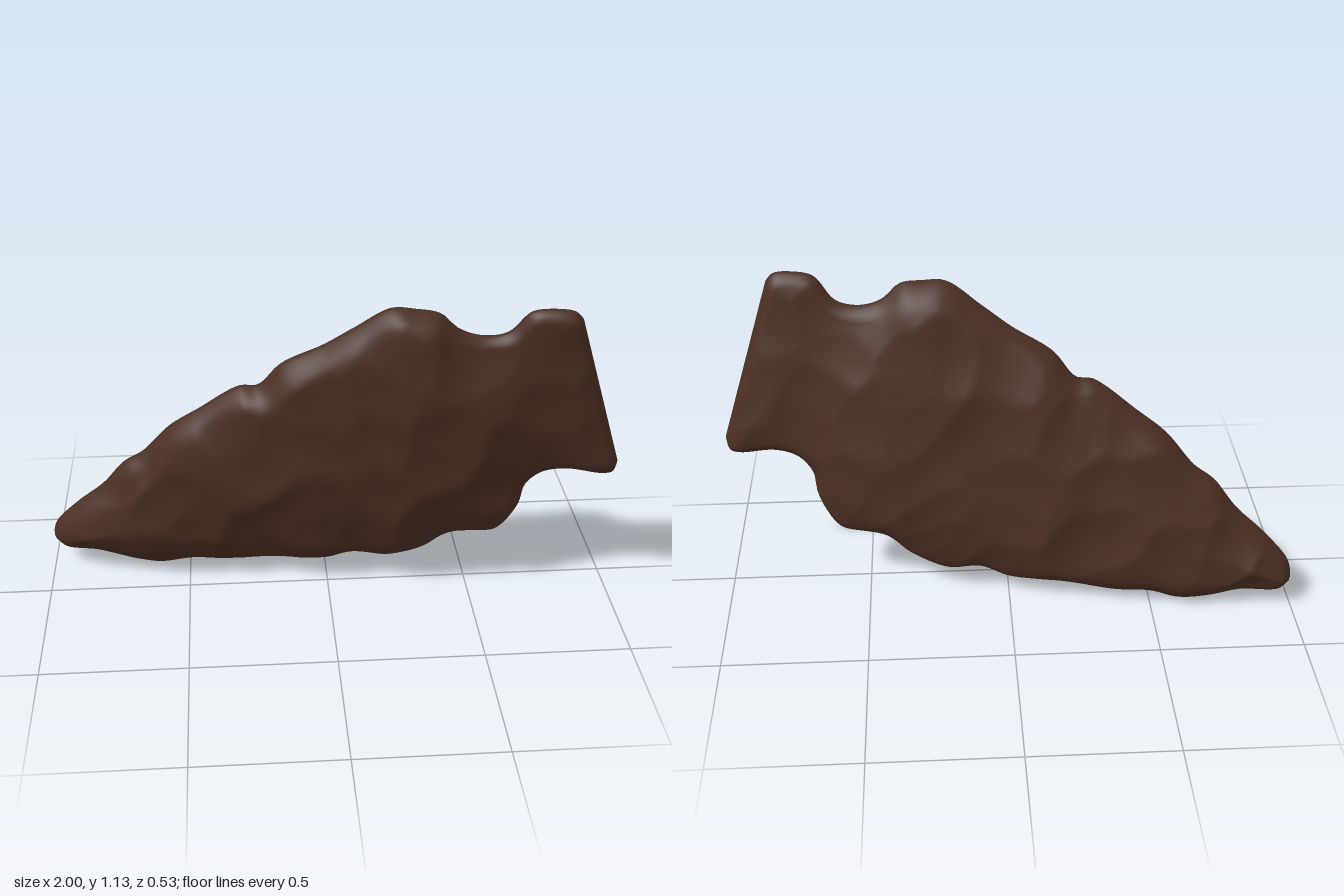
import * as THREE from 'three';

// Long axis of the point, from tip to base, in the x-y plane
const TIP = new THREE.Vector2(-1, 0.1);
const AXIS = new THREE.Vector2(0.938, 0.346);
const along = (p) => (p.x - TIP.x) * AXIS.x + (p.y - TIP.y) * AXIS.y;

// Upper edge: tip, blade, barb, notch, base corner
const UPPER = [
  [-1, 0.13], [-0.985, 0.175], [-0.9, 0.27], [-0.8, 0.36], [-0.72, 0.46], [-0.65, 0.51],
  [-0.55, 0.625], [-0.45, 0.7], [-0.3, 0.805], [-0.24, 0.81], [-0.16, 0.9], [-0.02, 0.98],
  [0.08, 1.05], [0.2, 1.13], [0.28, 1.128], [0.36, 1.115], [0.42, 1.06], [0.5, 1.035],
  [0.58, 1.05], [0.65, 1.13], [0.72, 1.143], [0.79, 1.135], [0.815, 1.11],
];
// Lower edge, in the same order
const LOWER = [
  [-1, 0.1], [-0.96, 0.06], [-0.82, 0.05], [-0.7, 0.02], [-0.6, 0.01], [-0.5, 0.03], [-0.38, 0.028],
  [-0.2, 0.048], [0, 0.058], [0.1, 0.09], [0.22, 0.08], [0.35, 0.13], [0.44, 0.195], [0.6, 0.22],
  [0.65, 0.28], [0.68, 0.35], [0.69, 0.42], [0.74, 0.48], [0.82, 0.5], [0.95, 0.485],
  [0.985, 0.495], [0.997, 0.54],
];

// Smooth an edge and return a lookup by fraction of its length along the axis
function edgeLookup(points) {
  const curve = new THREE.CatmullRomCurve3(points.map(([x, y]) => new THREE.Vector3(x, y, 0)));
  const pts = curve.getSpacedPoints(600);
  const s0 = along(pts[0]), s1 = along(pts[600]);
  return (f) => {
    const s = s0 + (s1 - s0) * f;
    let k = 1;
    while (k < 600 && along(pts[k]) < s) k++;
    const a = along(pts[k - 1]), b = along(pts[k]);
    const t = b > a ? THREE.MathUtils.clamp((s - a) / (b - a), 0, 1) : 0;
    return pts[k - 1].clone().lerp(pts[k], t);
  };
}

// Seeded random numbers
function seeded(seed) {
  return () => {
    seed = (seed * 16807) % 2147483647;
    return seed / 2147483647;
  };
}

// Shallow bowls meeting at ridges, like the scars of struck flakes
function flakeScars(seed) {
  const rnd = seeded(seed);
  const cells = Array.from({ length: 85 }, () => [rnd() * 2.1 - 1.05, rnd() * 1.2]);
  return (x, y) => {
    const wx = x + 0.025 * Math.sin(13 * y + seed), wy = y + 0.025 * Math.sin(11 * x + seed);
    let best = 1;
    for (const [cx, cy] of cells) best = Math.min(best, (wx - cx) ** 2 + (wy - cy) ** 2);
    return Math.min(best, 0.02) * 1.1 - 0.007
      + 0.005 * Math.sin(9 * x - 5 * y + seed) * Math.sin(7 * y + 3 * x);
  };
}

function stoneGeometry() {
  const rows = 170, cols = 40;
  const upper = edgeLookup(UPPER), lower = edgeLookup(LOWER);
  const sections = [];
  for (let i = 0; i <= rows; i++) {
    const u = i / rows;
    const f = u + 0.6 * (0.5 - 0.5 * Math.cos(Math.PI * u) - u); // closer rows at the ends
    sections.push([lower(f), upper(f)]);
  }

  // Outline segments, for the distance from the edge
  const outline = [new THREE.Line3(...sections[0]), new THREE.Line3(...sections[rows])];
  for (let i = 0; i < rows; i++) {
    for (const k of [0, 1]) outline.push(new THREE.Line3(sections[i][k], sections[i + 1][k]));
  }
  const near = new THREE.Vector3();
  const edgeDistance = (p) => {
    let d = Infinity;
    for (const line of outline) {
      line.closestPointToPoint(p, true, near);
      d = Math.min(d, near.distanceToSquared(p));
    }
    return Math.sqrt(d);
  };

  // Each loop runs up the front face and down the back face
  const faces = [
    { sign: 1, bulge: 0.112, scars: flakeScars(11) },
    { sign: -1, bulge: 0.085, scars: flakeScars(47) },
  ];
  const position = [], index = [], loop = cols * 2;
  sections.forEach(([lo, hi], i) => {
    for (let j = 0; j < loop; j++) {
      const front = j <= cols;
      const v = 0.5 - 0.5 * Math.cos((Math.PI * (front ? j : loop - j)) / cols);
      const p = lo.clone().lerp(hi, v);
      let z = -0.107 + 0.141 * p.x + 0.176 * p.y; // tilted middle plane
      if (i > 0 && i < rows && j % cols !== 0) {
        const { sign, bulge, scars } = faces[front ? 0 : 1];
        const d = edgeDistance(p);
        const thin = 1 - 0.72 * THREE.MathUtils.smoothstep(along(p), 1.5, 1.9);
        const rim = 0.03 * Math.sqrt(Math.min(1, d / 0.03));
        const h = rim + bulge * thin * (1 - Math.exp(-d / 0.12))
          + scars(p.x, p.y) * Math.min(1, d / 0.06) * (0.4 + 0.6 * thin);
        z += sign * h;
      }
      position.push(p.x, p.y, z);
      if (i < rows) {
        const a = i * loop + j, b = i * loop + ((j + 1) % loop);
        index.push(a, a + loop, b + loop, a, b + loop, b);
      }
    }
  });

  // Close the flat tip and base ends
  for (let j = 0; j < cols; j++) {
    const k = (loop - j) % loop, k1 = loop - j - 1, e = rows * loop;
    index.push(j, j + 1, k1, j, k1, k);
    index.push(e + j, e + k1, e + j + 1, e + j, e + k, e + k1);
  }

  const geometry = new THREE.BufferGeometry();
  geometry.setAttribute('position', new THREE.Float32BufferAttribute(position, 3));
  geometry.setIndex(index);
  geometry.computeVertexNormals();
  return geometry;
}

export function createModel() {
  const group = new THREE.Group();
  group.name = 'arrowhead';
  const stone = new THREE.MeshStandardMaterial({ color: 0x4a2e22 });
  stone.name = 'dark brown stone';
  const mesh = new THREE.Mesh(stoneGeometry(), stone);
  mesh.name = 'knappedStone';
  group.add(mesh);
  return group;
}
